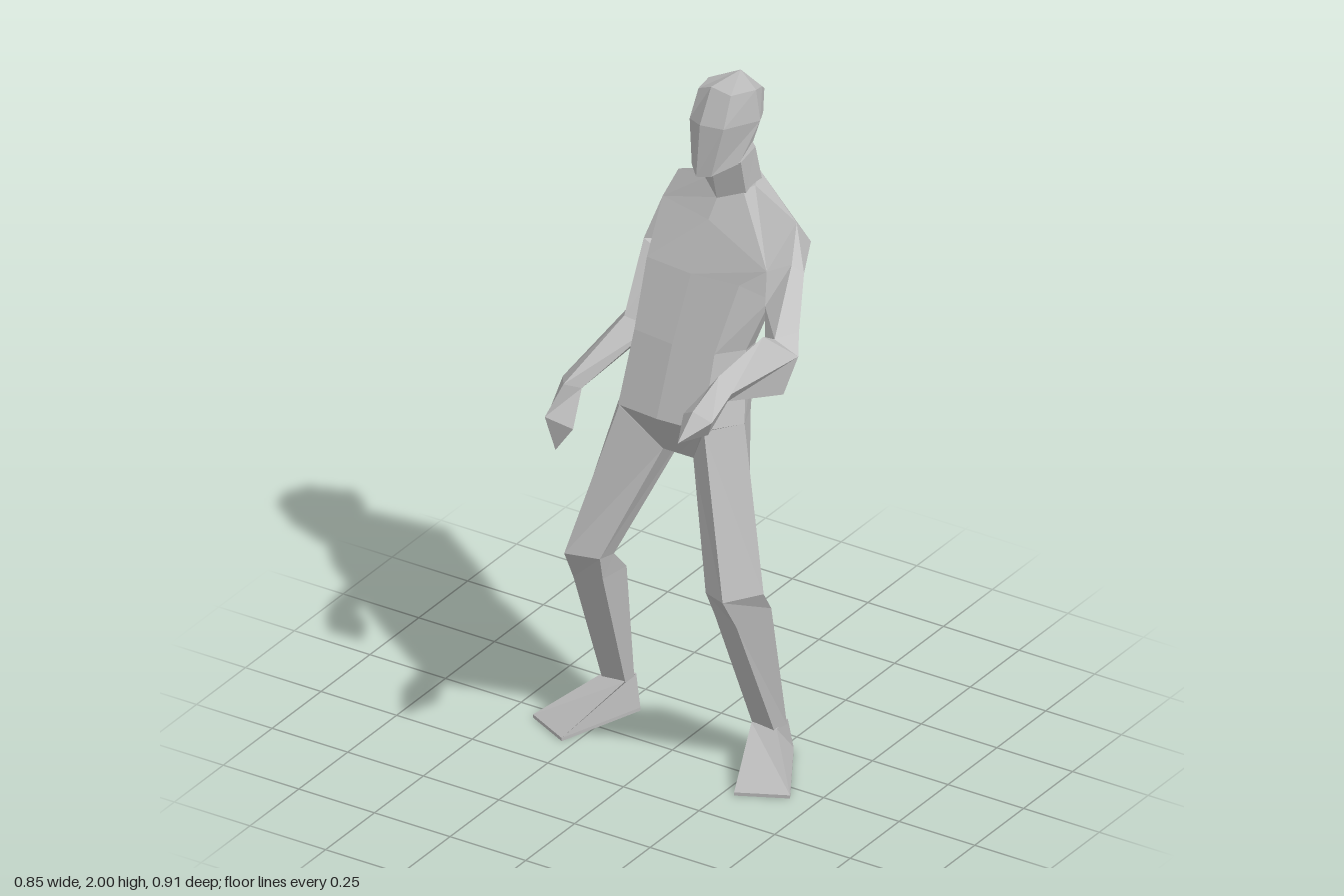
import * as THREE from 'three';

// Skin a list of equal-sized point rings into a closed faceted solid.
function loft(rings) {
  const n = rings[0].length, tris = [];
  const centre = r => [0, 1, 2].map(k => r.reduce((s, p) => s + p[k], 0) / n);
  for (let i = 0; i < rings.length - 1; i++) {
    for (let j = 0; j < n; j++) {
      const k = (j + 1) % n;
      const [a, b, c, d] = [rings[i][j], rings[i][k], rings[i + 1][k], rings[i + 1][j]];
      tris.push([a, b, c], [a, c, d]);
    }
  }
  const first = rings[0], last = rings[rings.length - 1];
  const c0 = centre(first), c1 = centre(last);
  for (let j = 0; j < n; j++) {
    const k = (j + 1) % n;
    tris.push([c0, first[k], first[j]], [c1, last[j], last[k]]);
  }
  // Signed volume tells whether the faces point outwards.
  let volume = 0;
  for (const t of tris) {
    const [a, b, c] = t.map(p => new THREE.Vector3(...p));
    volume += a.dot(b.cross(c));
  }
  if (volume < 0) tris.forEach(t => t.reverse());
  const geometry = new THREE.BufferGeometry();
  geometry.setAttribute('position', new THREE.Float32BufferAttribute(tris.flat(2), 3));
  geometry.computeVertexNormals();
  return geometry;
}

const tip = (p, n) => Array(n).fill(p);
const mirror = rings => rings.map(r => r.map(([x, y, z]) => [-x, y, z]));

export function createModel() {
  const grey = new THREE.MeshStandardMaterial({ color: 0xb8b8b8, flatShading: true });
  grey.name = 'clayGrey';
  const model = new THREE.Group();
  model.name = 'figure';
  const add = (name, rings) => {
    const mesh = new THREE.Mesh(loft(rings), grey);
    mesh.name = name;
    model.add(mesh);
  };

  // Torso rings run front right, front, front left, left, back left, back, back right, right.
  add('torso', [
    [[-.05, .93, -.03], [0, .93, -.03], [.05, .93, -.03], [.06, .94, -.1],
      [.05, .95, -.19], [0, .96, -.195], [-.05, .95, -.19], [-.06, .94, -.1]],
    [[-.145, 1.08, .053], [-.01, 1.08, .065], [.135, 1.08, .057], [.2, 1.07, -.06],
      [.13, 1.03, -.2], [0, 1.04, -.235], [-.13, 1.03, -.2], [-.2, 1.07, -.06]],
    [[-.145, 1.28, -.03], [-.01, 1.28, -.015], [.12, 1.28, -.03], [.16, 1.26, -.13],
      [.1, 1.2, -.27], [0, 1.18, -.3], [-.1, 1.2, -.28], [-.165, 1.26, -.15]],
    [[-.165, 1.46, -.125], [-.01, 1.46, -.11], [.15, 1.47, -.11], [.2, 1.4, -.195],
      [.17, 1.43, -.33], [.04, 1.44, -.415], [-.14, 1.43, -.39], [-.2, 1.44, -.27]],
    [[-.2, 1.58, -.26], [-.01, 1.59, -.2], [.225, 1.525, -.135], [.24, 1.625, -.265],
      [.258, 1.55, -.31], [.045, 1.53, -.455], [-.17, 1.52, -.43], [-.228, 1.6, -.385]],
    [[-.07, 1.67, -.28], [-.01, 1.64, -.245], [.06, 1.67, -.27], [.08, 1.68, -.3],
      [.06, 1.69, -.36], [0, 1.69, -.375], [-.06, 1.69, -.365], [-.075, 1.68, -.32]],
  ]);

  // Neck
  add('neck', [
    [[-.07, 1.66, -.28], [-.01, 1.63, -.245], [.07, 1.66, -.27], [.077, 1.68, -.34],
      [0, 1.68, -.375], [-.075, 1.68, -.34]],
    [[-.07, 1.77, -.25], [-.015, 1.755, -.22], [.065, 1.77, -.25], [.068, 1.79, -.32],
      [.01, 1.8, -.365], [-.07, 1.79, -.33]],
  ]);

  // Head, turned slightly to its right
  add('head', [
    [[-.065, 1.75, -.2], [-.03, 1.735, -.168], [.015, 1.745, -.175], [.06, 1.765, -.25],
      [.045, 1.77, -.33], [.01, 1.785, -.36], [-.045, 1.775, -.345], [-.072, 1.77, -.27]],
    [[-.085, 1.88, -.22], [-.03, 1.89, -.187], [.04, 1.89, -.2], [.087, 1.88, -.315],
      [.058, 1.87, -.375], [.025, 1.845, -.412], [-.06, 1.87, -.385], [-.091, 1.88, -.3]],
    [[-.075, 1.965, -.25], [-.03, 1.985, -.245], [.035, 1.975, -.245], [.07, 1.97, -.32],
      [.048, 1.945, -.385], [.025, 1.91, -.432], [-.065, 1.95, -.38], [-.08, 1.97, -.31]],
    tip([0, 2, -.35], 8),
  ]);

  // Legs: rings run front inner, front outer, outer, back, inner.
  const leg = [
    [[.05, .93, -.03], [.14, 1.08, .055], [.2, 1.07, -.06], [.13, 1.03, -.2], [.05, .95, -.19]],
    [[.175, .6, .1], [.262, .615, .148], [.315, .6, .02], [.25, .59, 0], [.18, .58, .02]],
    [[.185, .52, .07], [.27, .51, .088], [.308, .53, -.03], [.255, .48, -.105], [.19, .5, -.06]],
    [[.21, .11, -.085], [.285, .11, -.08], [.295, .11, -.13], [.255, .12, -.152], [.21, .11, -.13]],
  ];
  // Feet: toe inner, toe outer, heel outer, heel inner.
  const sole = y => [[.285, y, .125], [.425, y, .055], [.285, y, -.18], [.196, y, -.14]];
  const foot = [
    [[.21, .115, -.08], [.29, .115, -.085], [.285, .115, -.15], [.21, .115, -.14]],
    sole(.01), sole(0),
  ];
  add('leftLeg', leg);
  add('rightLeg', mirror(leg));
  add('leftFoot', foot);
  add('rightFoot', mirror(foot));

  // Left arm reaching forward: rings run top, outer, under, inner.
  const leftWrist = [[.315, 1.4, .25], [.36, 1.36, .255], [.335, 1.32, .235], [.285, 1.36, .25]];
  add('leftArm', [
    [[.24, 1.625, -.265], [.258, 1.55, -.31], [.2, 1.4, -.195], [.225, 1.525, -.135]],
    [[.285, 1.55, -.17], [.316, 1.525, -.185], [.275, 1.33, -.1], [.255, 1.45, -.08]],
    [[.335, 1.405, -.005], [.38, 1.415, -.06], [.355, 1.275, -.02], [.3, 1.365, -.01]],
    [[.33, 1.435, .045], [.405, 1.365, -.018], [.39, 1.265, .035], [.31, 1.35, .02]],
    leftWrist,
  ]);
  add('leftHand', [
    leftWrist,
    [[.31, 1.345, .375], [.37, 1.325, .37], [.335, 1.26, .335], [.26, 1.31, .345]],
    tip([.31, 1.28, .452], 4),
  ]);

  // Right arm hanging bent: rings run front, outer, back, inner.
  const rightWrist = [[-.315, 1.1, .07], [-.352, 1.09, .015], [-.32, 1.045, -.02], [-.28, 1.08, .03]];
  add('rightArm', [
    [[-.2, 1.58, -.26], [-.228, 1.6, -.385], [-.17, 1.52, -.43], [-.2, 1.44, -.27]],
    [[-.24, 1.45, -.225], [-.278, 1.43, -.345], [-.22, 1.4, -.37], [-.185, 1.4, -.25]],
    [[-.24, 1.25, -.125], [-.28, 1.235, -.255], [-.21, 1.17, -.27], [-.177, 1.21, -.17]],
    rightWrist,
  ]);
  add('rightHand', [
    rightWrist,
    [[-.345, 1.01, .119], [-.38, .98, .045], [-.32, .95, .02], [-.27, .98, .09]],
    tip([-.325, .9, .095], 4),
  ]);

  return model;
}
